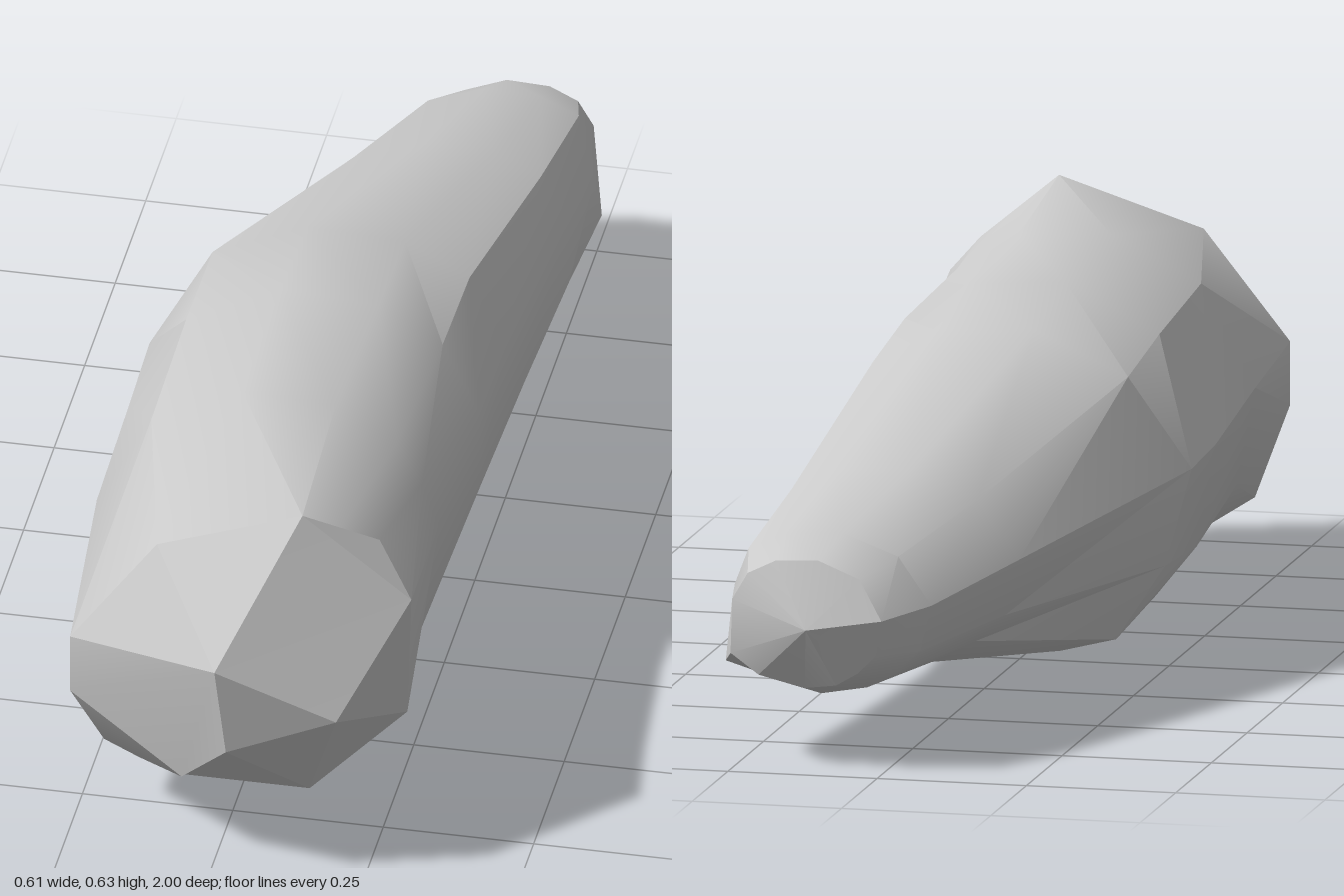
import * as THREE from 'three';
import { toCreasedNormals } from 'three/addons/utils/BufferGeometryUtils.js';

// Twelve-sided outline of the body, from the top round towards -x;
// 7 is the keel, 8 the lower edge, 9 the flank, 10 the ridge and 11 the shoulder
const outline = [
  [0.4, 0.97], [-0.15, 1], [-0.68, 0.74], [-1, 0.15], [-0.89, -0.42], [-0.66, -0.7],
  [-0.38, -0.9], [0.06, -1], [0.62, -0.79], [0.98, -0.2], [0.96, 0.35], [0.76, 0.76],
];

// Size of the outline along the body, from front to back, with points moved by [x, y, z]
const stations = [
  { z: 0.45, x: [-0.287, 0.28], y: [0.045, 0.618],
    moves: { 8: [0.07, 0.06, 0], 9: [0, 0.1, -0.04], 10: [-0.015, 0.045, 0] } },
  { z: 0.12, x: [-0.3, 0.292], y: [0, 0.604], moves: { 8: [0, 0, -0.08], 9: [0, 0.03, 0] } },
  { z: -0.12, x: [-0.305, 0.288], y: [0.036, 0.572],
    moves: { 3: [0, 0, 0.05], 5: [-0.01, -0.03, -0.1], 6: [0, 0, -0.1], 9: [0, -0.02, -0.13], 10: [0, -0.015, 0] } },
  { z: -0.61, x: [-0.145, 0.288], y: [0.105, 0.432], moves: { 9: [0, -0.04, 0], 10: [0, -0.015, 0] } },
  { z: -0.87, x: [-0.06, 0.288], y: [0.11, 0.378], moves: { 9: [0, -0.06, 0], 10: [0.005, -0.02, 0.07] } },
  { z: -0.95, x: [0, 0.26], y: [0.13, 0.347], moves: { 3: [0, 0, -0.02], 7: [0, 0, 0.02], 9: [0, -0.03, 0] } },
];

// Broken rim where the body meets the front facets, and the corners of those facets
const rim = [
  [0.13, 0.635, 0.82], [-0.11, 0.555, 0.83], [-0.25, 0.37, 0.85], [-0.25, 0.265, 0.85],
  [-0.21, 0.125, 0.77], [-0.15, 0.1, 0.775], [-0.09, 0.08, 0.78], [0.14, 0.1, 0.81],
  [0.29, 0.23, 0.75], [0.305, 0.475, 0.79], [0.24, 0.545, 0.73], [0.185, 0.59, 0.775],
];
const tip = [0.02, 0.43, 1], side = [0.21, 0.32, 0.94], chin = [0.035, 0.265, 0.98], lower = [-0.055, 0.155, 0.9];
const backTip = [0.12, 0.24, -1];

function crossSection({ z, x, y, moves }) {
  return outline.map(([u, v], i) => {
    const [dx, dy, dz] = moves[i] ?? [0, 0, 0];
    return [
      THREE.MathUtils.lerp(x[0], x[1], (u + 1) / 2) + dx,
      THREE.MathUtils.lerp(y[0], y[1], (v + 1) / 2) + dy,
      z + dz,
    ];
  });
}

function makeMesh(name, polygons, material, crease) {
  const positions = [];
  for (const p of polygons) {
    for (let i = 1; i < p.length - 1; i++) positions.push(...p[0], ...p[i], ...p[i + 1]);
  }
  const geometry = new THREE.BufferGeometry();
  geometry.setAttribute('position', new THREE.Float32BufferAttribute(positions, 3));
  const mesh = new THREE.Mesh(toCreasedNormals(geometry, crease), material);
  mesh.name = name;
  return mesh;
}

export function createModel() {
  const group = new THREE.Group();
  group.name = 'longRock';
  const stone = new THREE.MeshStandardMaterial({ color: 0xcacaca });
  stone.name = 'grey stone';

  // Long body lofted from the rim through the cross-sections
  const rings = [rim, ...stations.map(crossSection)];
  const body = [];
  for (let r = 0; r < rings.length - 1; r++) {
    const a = rings[r], b = rings[r + 1];
    for (let i = 0; i < a.length; i++) {
      const j = (i + 1) % a.length;
      body.push([a[i], b[i], b[j], a[j]]);
    }
  }
  group.add(makeMesh('body', body, stone, 0.6));

  // Narrow back end closing on one point
  const last = rings[rings.length - 1];
  const backEnd = last.map((p, i) => [p, backTip, last[(i + 1) % last.length]]);
  group.add(makeMesh('backEnd', backEnd, stone, 0.35));

  // Broad broken facets of the front end
  const f = rim;
  group.add(makeMesh('frontFacets', [
    [tip, f[0], f[1]],
    [tip, f[1], f[2]],
    [tip, f[2], f[3], lower, chin],
    [tip, chin, side],
    [tip, side, f[9], f[0]],
    [f[9], f[10], f[11], f[0]],
    [side, f[8], f[9]],
    [side, chin, f[7], f[8]],
    [chin, lower, f[6], f[7]],
    [lower, f[3], f[4], f[5], f[6]],
  ], stone, 0.35));
  return group;
}
